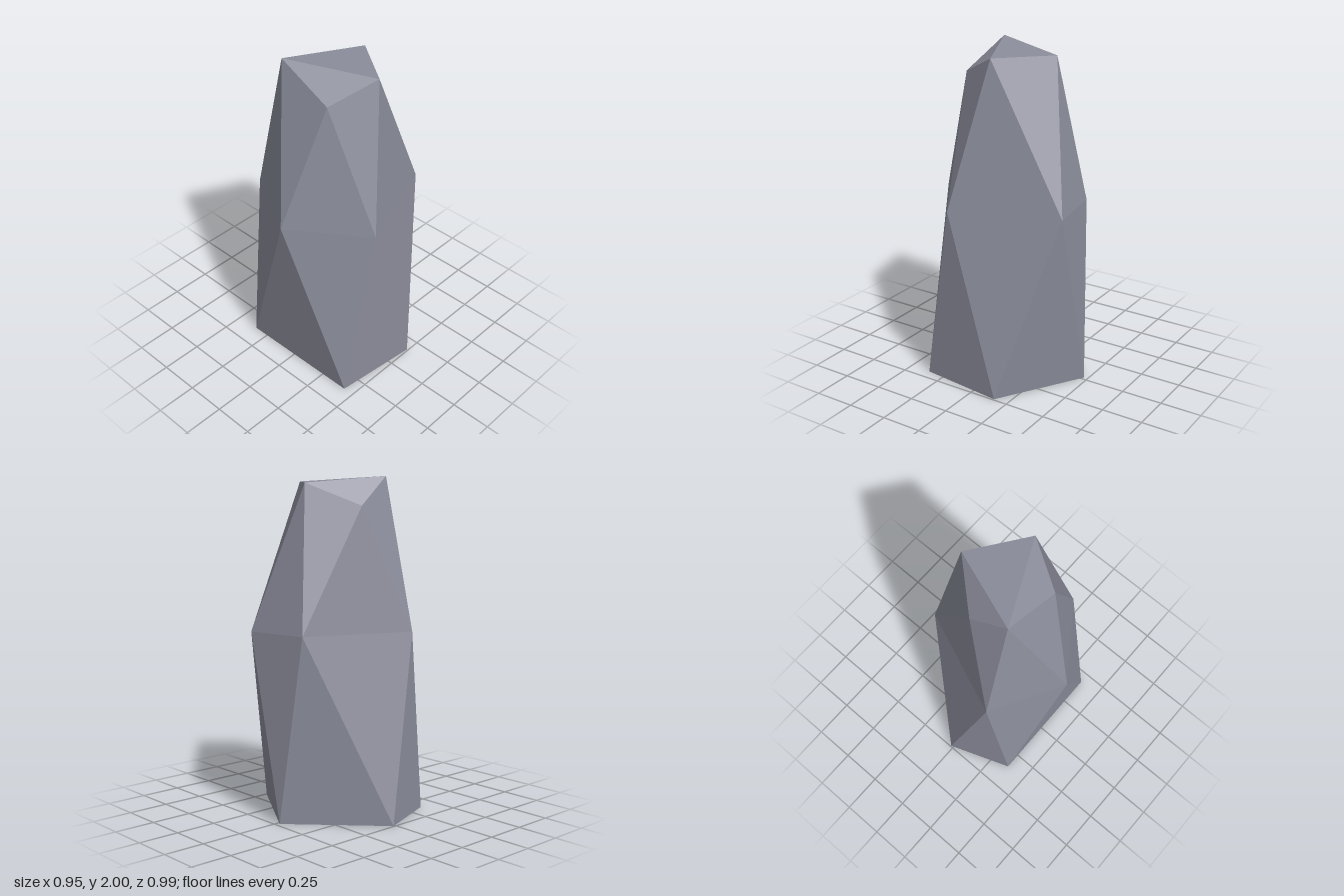
import * as THREE from 'three';

// Cross-sections as [x, y, z], going round from +x toward +z
const BASE = [[0.475, 0, -0.02], [0.16, 0, 0.492], [-0.362, 0, 0.432], [-0.368, 0, -0.352], [0.016, 0, -0.495]];
const WAIST = [[0.46, 1.1, 0.245], [-0.162, 1.1, 0.477], [-0.475, 1.1, 0.037], [-0.23, 1.1, -0.395], [0.397, 1.1, -0.14]];
const CROWN = [[0.262, 1.96, -0.01], [0.027, 1.97, 0.306], [-0.23, 1.85, 0.168], [-0.21, 2, -0.19], [0.02, 1.83, -0.227]];

export function createModel() {
  const group = new THREE.Group();
  group.name = 'crystalRock';
  const stone = new THREE.MeshStandardMaterial({ color: 0x8b8d9b });
  stone.name = 'blueGreyStone';

  const positions = [];
  const tri = (a, b, c) => positions.push(...a, ...b, ...c);

  for (let i = 0; i < 5; i++) {
    const j = (i + 1) % 5;
    // waist corners sit between the base and crown corners, giving alternating facets
    tri(BASE[i], WAIST[i], BASE[j]);
    tri(BASE[j], WAIST[i], WAIST[j]);
    tri(CROWN[i], CROWN[j], WAIST[i]);
    tri(CROWN[j], WAIST[j], WAIST[i]);
  }
  // Caps: the crown fans out from its highest corner, the base from its first
  for (let k = 1; k < 4; k++) {
    tri(CROWN[3], CROWN[(4 + k) % 5], CROWN[(3 + k) % 5]);
    tri(BASE[0], BASE[k], BASE[k + 1]);
  }

  const geometry = new THREE.BufferGeometry();
  geometry.setAttribute('position', new THREE.Float32BufferAttribute(positions, 3));
  geometry.computeVertexNormals(); // unshared corners keep the facets flat

  const rock = new THREE.Mesh(geometry, stone);
  rock.name = 'facetedRock';
  group.add(rock);
  return group;
}
